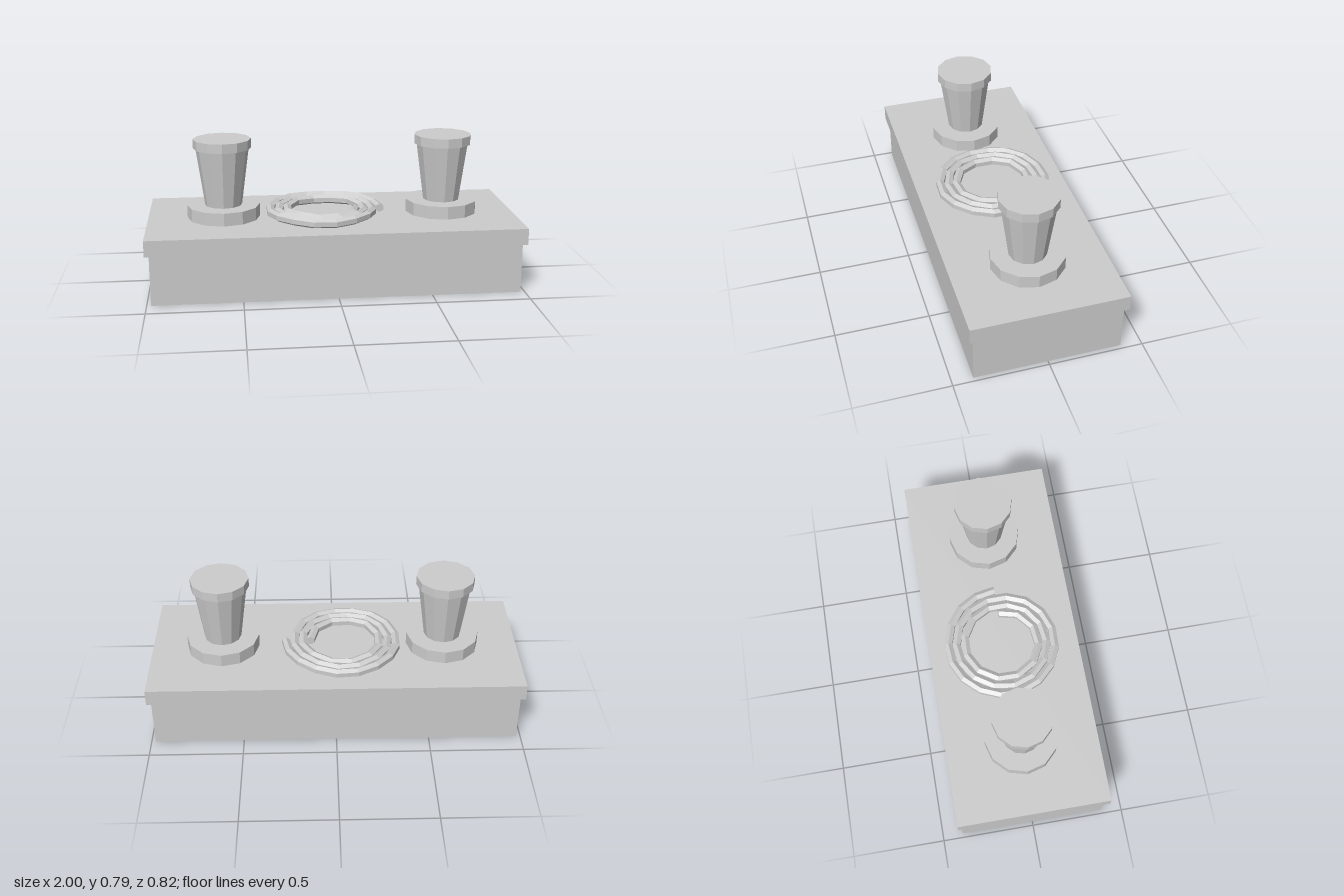
import * as THREE from 'three';

const stone = new THREE.MeshStandardMaterial({ color: 0xcccccc, flatShading: true });
stone.name = 'pale grey';

function add(parent, name, geometry, x = 0, y = 0, z = 0) {
  const mesh = new THREE.Mesh(geometry, stone);
  mesh.name = name;
  mesh.position.set(x, y, z);
  parent.add(mesh);
  return mesh;
}

// Box or twelve-sided drum placed between two heights
const slab = (parent, name, w, d, y0, y1) =>
  add(parent, name, new THREE.BoxGeometry(w, y1 - y0, d), 0, (y0 + y1) / 2, 0);
const drum = (parent, name, rTop, rBottom, y0, y1) =>
  add(parent, name, new THREE.CylinderGeometry(rTop, rBottom, y1 - y0, 12), 0, (y0 + y1) / 2, 0);

// Mooring post: foot disc, flaring post and cap
function bollard(name, x) {
  const group = new THREE.Group();
  group.name = name;
  group.position.x = x;
  drum(group, 'foot', 0.197, 0.197, 0.357, 0.427);
  drum(group, 'post', 0.143, 0.1, 0.427, 0.74);
  drum(group, 'cap', 0.156, 0.156, 0.74, 0.79);
  return group;
}

// Flat spiral of three turns, gently uneven in height
class CoilCurve extends THREE.Curve {
  getPoint(t, target = new THREE.Vector3()) {
    const angle = t * Math.PI * 6;
    const r = 0.18 + 0.135 * t;
    return target.set(
      -0.0455 + r * Math.cos(angle),
      0.382 - 0.004 * Math.cos(4 * angle),
      r * Math.sin(angle));
  }
}

function ropeCoil() {
  const group = new THREE.Group();
  group.name = 'ropeCoil';
  const curve = new CoilCurve();
  add(group, 'rope', new THREE.TubeGeometry(curve, 42, 0.025, 6, false));
  // Closed rope ends
  for (const t of [0, 1]) {
    const p = curve.getPoint(t);
    const out = curve.getTangent(t).multiplyScalar(t ? 1 : -1);
    const end = add(group, 'ropeEnd', new THREE.CircleGeometry(0.025, 6, Math.PI / 6), p.x, p.y, p.z);
    end.lookAt(p.clone().add(out));
  }
  return group;
}

export function createModel() {
  const model = new THREE.Group();
  model.name = 'mooringDock';
  slab(model, 'base', 1.955, 0.78, 0, 0.265);
  slab(model, 'deck', 2, 0.82, 0.27, 0.357);
  model.add(bollard('rightBollard', -0.59), bollard('leftBollard', 0.613), ropeCoil());
  return model;
}
